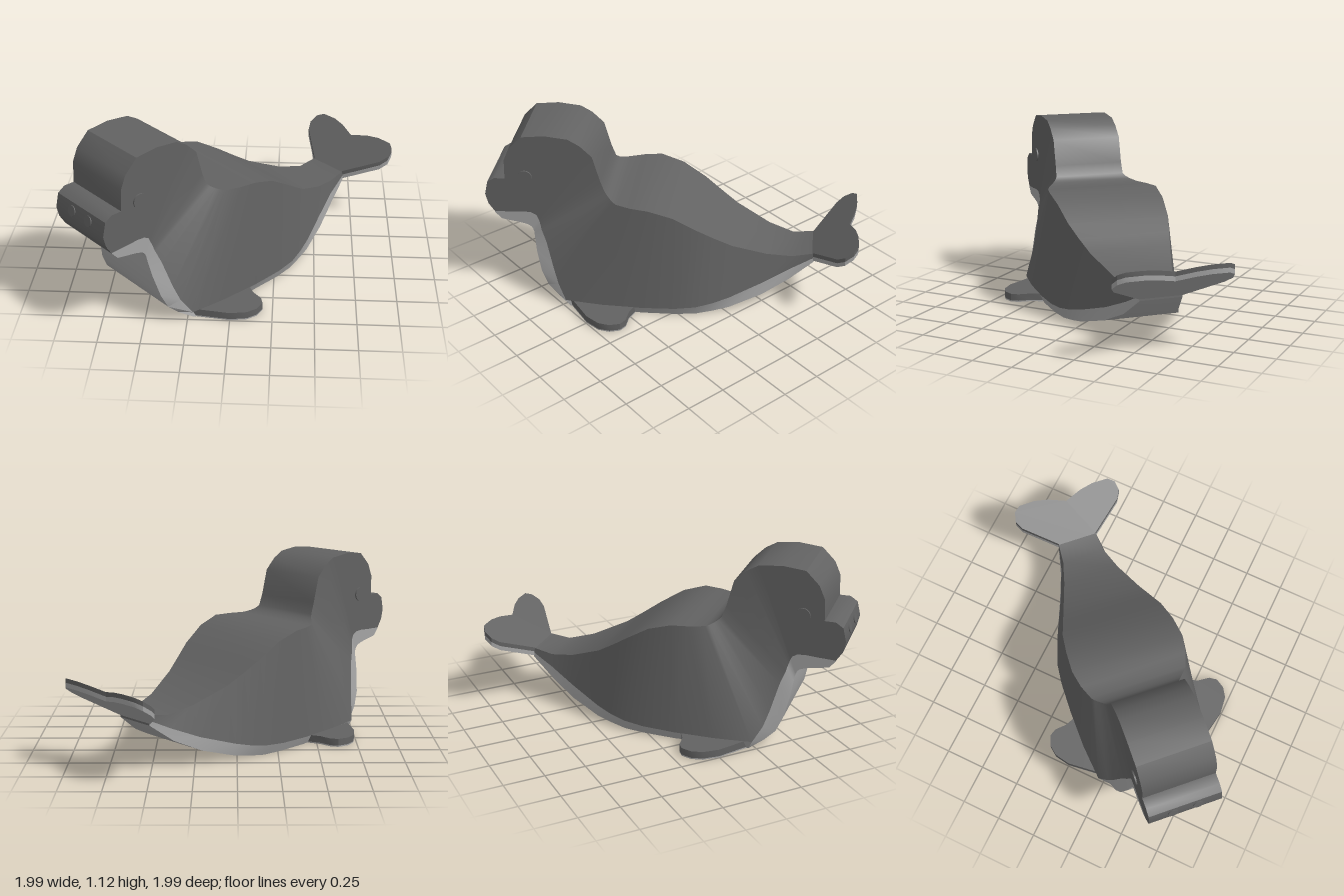
import * as THREE from 'three';
import { toCreasedNormals } from 'three/addons/utils/BufferGeometryUtils.js';

const dark = new THREE.MeshStandardMaterial({ color: 0x626262 });
dark.name = 'dark grey';
const light = new THREE.MeshStandardMaterial({ color: 0xa4a4a4 });
light.name = 'light grey';

// Outline points are [forward, height, halfWidth]; halfWidth defaults to the head's.
const W = 0.225;
const point = ([f, y, w = W], side) => [w * side, y, f];
const row = (points, side) => points.map(p => point(p, side));

// Ridge: snout, crown, nape, back, tail root
const ridge = [
  [1.165, .64], [1.18, .705], [1.16, .79], [1.115, .82], [1.05, .82], [1.045, .95],
  [1.01, 1.03], [.93, 1.11], [.79, 1.125], [.65, 1.11], [.58, 1.07], [.508, 1.0], [.465, .84],
  [.44, .77, .228], [.42, .75, .245], [.40, .738, .265], [.38, .73, .285], [.36, .725, .30],
  [.27, .725, .335], [.163, .725, .355], [.02, .68, .346], [-.127, .59, .325],
  [-.23, .52, .292], [-.34, .45, .255], [-.55, .36, .184], [-.707, .325, .141], [-.83, .345, .13],
];
// Crease between the dark flank and the pale underside
const crease = [
  [1.128, .583], [1.10, .585], [1.06, .587], [1.03, .588], [1.0, .59], [.97, .592],
  [.95, .594], [.90, .59], [.87, .572], [.863, .555], [.857, .54], [.85, .52, .23], [.845, .50, .235],
  [.84, .48, .242], [.81, .40, .26], [.766, .235, .30], [.735, .14, .33], [.684, .053, .377],
  [.45, .05, .40], [.2, .05, .405], [0, .055, .40], [-.127, .065, .385],
  [-.23, .08, .352], [-.33, .105, .315], [-.53, .17, .225], [-.70, .245, .16], [-.84, .315, .13],
];
// Edge of the belly
const belly = [
  [1.128, .578], [1.09, .535], [1.05, .527], [1.02, .522], [.99, .517], [.96, .511],
  [.945, .507], [.92, .498], [.905, .486], [.90, .478], [.896, .468], [.892, .455], [.89, .44, .227],
  [.888, .42, .232], [.876, .33, .255], [.846, .2, .285], [.806, .11, .30], [.742, .05, .318],
  [.66, 0, .36], [.2, 0, .385], [0, 0, .378], [-.127, 0, .36],
  [-.23, .012, .335], [-.33, .03, .31], [-.53, .09, .235], [-.69, .17, .17], [-.84, .285, .13],
];

// Skin stretched between two rows of points
function strip(name, a, b, material) {
  const pos = [];
  for (let i = 0; i + 1 < a.length; i++) {
    pos.push(...a[i], ...b[i], ...a[i + 1], ...b[i], ...b[i + 1], ...a[i + 1]);
  }
  const g = new THREE.BufferGeometry();
  g.setAttribute('position', new THREE.Float32BufferAttribute(pos, 3));
  g.computeVertexNormals();
  const mesh = new THREE.Mesh(toCreasedNormals(g, 0.6), material);
  mesh.name = name;
  return mesh;
}

// Horizontal plate from a [side, forward] outline, rising toward the tail by slope
function slab(name, outline, bottom, depth, material, slope = 0, pivot = 0) {
  const shape = new THREE.Shape(outline.map(([x, f]) => new THREE.Vector2(x, -f)));
  const g = new THREE.ExtrudeGeometry(shape, { depth, bevelEnabled: false });
  g.rotateX(-Math.PI / 2);
  const p = g.attributes.position;
  for (let i = 0; i < p.count; i++) {
    p.setY(i, p.getY(i) + bottom + slope * (pivot - p.getZ(i)));
  }
  const mesh = new THREE.Mesh(toCreasedNormals(g, 0.6), material);
  mesh.name = name;
  return mesh;
}

function disc(name, radius, x, y, z) {
  const mesh = new THREE.Mesh(new THREE.CylinderGeometry(radius, radius, 0.014, 20), dark);
  mesh.name = name;
  mesh.position.set(x, y, z);
  return mesh;
}

export function createModel() {
  const group = new THREE.Group();
  group.name = 'seal';
  const seal = new THREE.Group();
  seal.name = 'body';
  seal.rotation.y = -Math.PI / 4;
  group.add(seal);

  const [tR, tL] = [row(ridge, -1), row(ridge, 1)];
  const [cR, cL] = [row(crease, -1), row(crease, 1)];
  const [bR, bL] = [row(belly, -1), row(belly, 1)];
  const n = ridge.length - 1;

  // Head, back, flanks and underside
  seal.add(
    strip('headAndBack', tR, tL, dark),
    strip('leftFlank', tL, cL, dark),
    strip('rightFlank', cR, tR, dark),
    strip('leftBellyEdge', cL, bL, light),
    strip('rightBellyEdge', bR, cR, light),
    strip('belly', bL, bR, light),
    strip('lip', [bR[0], tR[0]], [bL[0], tL[0]], dark),
    strip('tailRoot', [tR[n], bR[n]], [tL[n], bL[n]], dark),
  );

  // Tail fluke, dark above and pale below
  const half = [[.13, -.80], [.128, -.834], [.33, -.975], [.358, -1.02], [.345, -1.07],
    [.304, -1.096], [.2, -1.097], [.11, -1.082]];
  const fluke = [...half, [0, -1.047], ...half.map(([x, f]) => [-x, f]).reverse()];
  seal.add(
    slab('flukeTop', fluke, .318, .027, dark, .71, -.83),
    slab('flukeUnderside', fluke, .29, .028, light, .71, -.83),
  );

  // Front flippers, eyes and nostrils
  const flipper = [[.3, .247], [.39, .247], [.46, .276], [.537, .283], [.58, .311], [.60, .375],
    [.587, .445], [.527, .527], [.445, .587], [.346, .66], [.3, .66]];
  for (const [side, s] of [['left', 1], ['right', -1]]) {
    const outline = flipper.map(([x, f]) => [x * s, f]);
    seal.add(
      slab(side + 'Flipper', outline, .008, .043, dark),
      slab(side + 'FlipperUnderside', outline, 0, .008, light),
    );
    const eye = disc(side + 'Eye', .044, s * .227, .84, .923);
    eye.rotation.z = Math.PI / 2;
    const nostril = disc(side + 'Nostril', .032, s * .077, .74, 1.17);
    nostril.rotation.x = 1.34;
    seal.add(eye, nostril);
  }
  return group;
}
